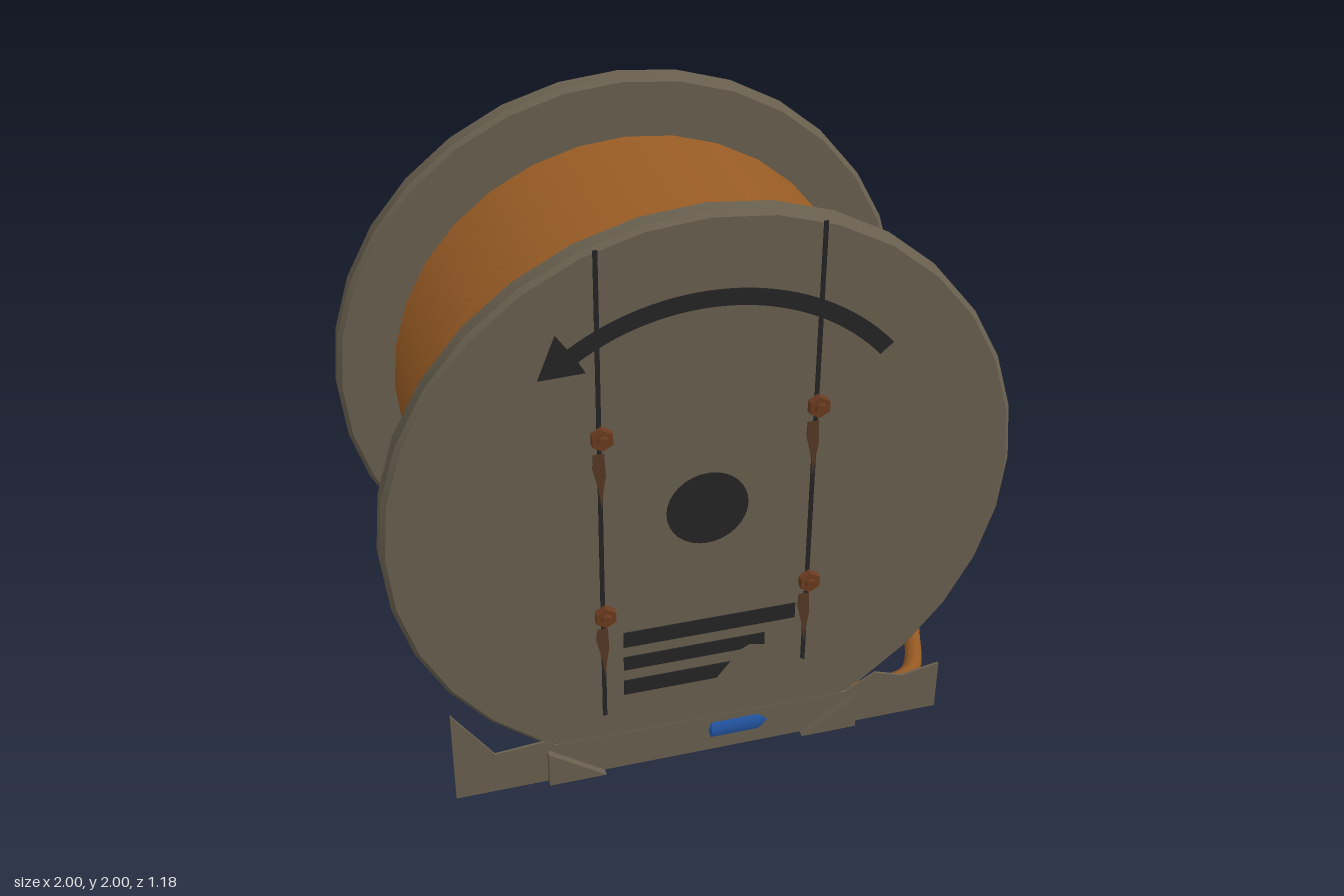
import * as THREE from 'three';
import { toCreasedNormals } from 'three/addons/utils/BufferGeometryUtils.js';

const mat = (name, color) => {
  const m = new THREE.MeshStandardMaterial({ color });
  m.name = name;
  return m;
};

export function createModel() {
  const wood = mat('weathered wood', 0x69604f);
  const copper = mat('copper cable', 0x965a24);
  const black = mat('black paint', 0x252525);
  const rust = mat('rusty iron', 0x6b3b20);
  const stain = mat('rust stain', 0x553825);
  const blue = mat('blue cap', 0x2456a4);

  const model = new THREE.Group();
  model.name = 'cableReel';
  const add = (name, geo, material, parent = model) => {
    const mesh = new THREE.Mesh(geo, material);
    mesh.name = name;
    parent.add(mesh);
    return mesh;
  };
  const shapeOf = (pts) => new THREE.Shape(pts.map(([x, y]) => new THREE.Vector2(x, y)));

  // Solid of revolution about the z axis, creased at sharp profile corners
  const lathe = (pts, n) => toCreasedNormals(
    new THREE.LatheGeometry(pts.map(([r, h]) => new THREE.Vector2(r, h)), n).rotateX(Math.PI / 2), 0.5);

  // Flat shape extruded between distances z0 and z1 on the front (s = 1) or back (s = -1)
  const slab = (shape, s, z0, z1) => new THREE.ExtrudeGeometry(shape,
    { depth: z1 - z0, bevelEnabled: false, curveSegments: 16 }).translate(0, 0, s > 0 ? z0 : -z1);

  // Wound cable: one ridge per turn
  const turns = 12, pitch = 0.91 / turns, wound = [];
  for (let i = 0; i <= turns; i++) {
    const z = -0.455 + i * pitch;
    wound.push([0.782, z]);
    if (i < turns) wound.push([0.813, z + pitch / 2]);
  }
  add('woundCable', lathe(wound, 32).translate(0, 1, 0), copper);

  // Curved arrow painted on each flange
  const arrow = new THREE.Shape();
  arrow.absarc(0, 1, 0.757, 0.72, 2.16, false);
  arrow.lineTo(-0.455, 1.68);
  arrow.lineTo(-0.51, 1.54);
  arrow.lineTo(-0.37, 1.545);
  arrow.absarc(0, 1, 0.703, 2.16, 0.72, true);

  const hub = new THREE.Shape();
  hub.absarc(0, 1, 0.13, 0, Math.PI * 2, false);

  const painted = {
    arrow,
    hubHole: hub,
    leftPlankGap: shapeOf([[-0.342, 0.24], [-0.328, 0.24], [-0.328, 1.93], [-0.342, 1.93]]),
    rightPlankGap: shapeOf([[0.328, 0.33], [0.342, 0.32], [0.342, 1.93], [0.328, 1.93]]),
    longBar: shapeOf([[-0.27, 0.508], [0.3, 0.508], [0.3, 0.567], [-0.27, 0.567]]),
    middleBar: shapeOf([[-0.27, 0.414], [0.12, 0.414], [0.15, 0.43], [0.2, 0.418], [0.2, 0.467], [-0.27, 0.467]]),
    shortBar: shapeOf([[-0.27, 0.312], [0.04, 0.312], [0.085, 0.37], [-0.27, 0.37]]),
  };

  // Broken-ended foot boards, different on each side
  const boards = {
    1: [[-0.835, 0], [0.83, 0], [0.83, 0.19], [0.7, 0.165], [0.6, 0.2], [0.5, 0.14],
      [-0.5, 0.15], [-0.53, 0.172], [-0.7, 0.158], [-0.835, 0.355]],
    [-1]: [[-0.83, 0], [0.83, 0], [0.83, 0.22], [0.7, 0.2], [0.6, 0.228], [0.5, 0.15],
      [-0.5, 0.15], [-0.62, 0.2], [-0.7, 0.2], [-0.83, 0.18]],
  };

  for (const s of [1, -1]) {
    const side = new THREE.Group();
    side.name = s > 0 ? 'frontSide' : 'backSide';
    model.add(side);

    // Flange with chamfered rim
    const flange = lathe([[0, -0.04], [0.985, -0.04], [1, -0.026], [1, 0.026], [0.985, 0.04], [0, 0.04]], 32);
    add('flange', flange.translate(0, 1, s * 0.494), wood, side);

    for (const [name, shape] of Object.entries(painted)) {
      add(name, slab(shape, s, 0.532, 0.5375), black, side);
    }

    // Foot board and its pair of wedges
    add('footBoard', slab(shapeOf(boards[s]), s, 0.527, 0.5355), wood, side);
    for (const m of [1, -1]) {
      const tri = [[m * 0.53, 0], [m * 0.53, 0.135], [m * 0.34, 0]];
      add('footWedge', slab(shapeOf(tri), s, 0.425, 0.56), wood, side);
    }

    // Bolts with rust streaks; backing plates on the back only
    for (const x of [-0.333, 0.333]) {
      for (const y of [0.67, 1.33]) {
        const bolt = new THREE.Group();
        bolt.name = 'bolt';
        side.add(bolt);
        const nut = new THREE.CylinderGeometry(0.036, 0.036, 0.024, 6).rotateX(Math.PI / 2);
        add('nut', toCreasedNormals(nut, 0.5).translate(x, y, s * 0.563), rust, bolt);
        const shank = new THREE.CylinderGeometry(0.018, 0.018, 0.06, 8).rotateX(Math.PI / 2);
        add('shank', shank.translate(x, y, s * 0.56), rust, bolt);
        if (s < 0) {
          add('backingPlate', new THREE.BoxGeometry(0.14, 0.14, 0.018).translate(x, y, s * 0.543), rust, bolt);
        }
        const streak = [[-0.022, -0.07], [-0.024, -0.12], [-0.008, -0.19], [0.002, -0.27],
          [0.008, -0.2], [0.016, -0.15], [0.012, -0.07]];
        add('rustStreak', slab(shapeOf(streak.map(([a, b]) => [x + a, y + b])), s, 0.533, 0.539), stain, bolt);
      }
    }
  }

  // Loose cable tail leading from the winding to the cap
  const path = new THREE.CatmullRomCurve3([
    [0.6, 0.52, -0.165], [0.72, 0.35, -0.175], [0.84, 0.2, -0.185], [0.91, 0.1, -0.08],
    [0.93, 0.048, 0.03], [0.88, 0.045, 0.2], [0.79, 0.045, 0.4], [0.66, 0.047, 0.44],
    [0.45, 0.06, 0.445], [0.2, 0.08, 0.46],
  ].map((p) => new THREE.Vector3(...p)));
  add('cableTail', new THREE.TubeGeometry(path, 36, 0.031, 8, false), copper);

  // Cap on the cable end, tapering towards the cable
  const cap = lathe([[0, 0], [0.07, 0], [0.078, 0.012], [0.078, 0.17], [0.068, 0.22], [0.034, 0.25], [0, 0.25]], 16);
  add('cableCap', cap.rotateY(Math.PI / 2).translate(0.015, 0.085, 0.465), blue);

  return model;
}
